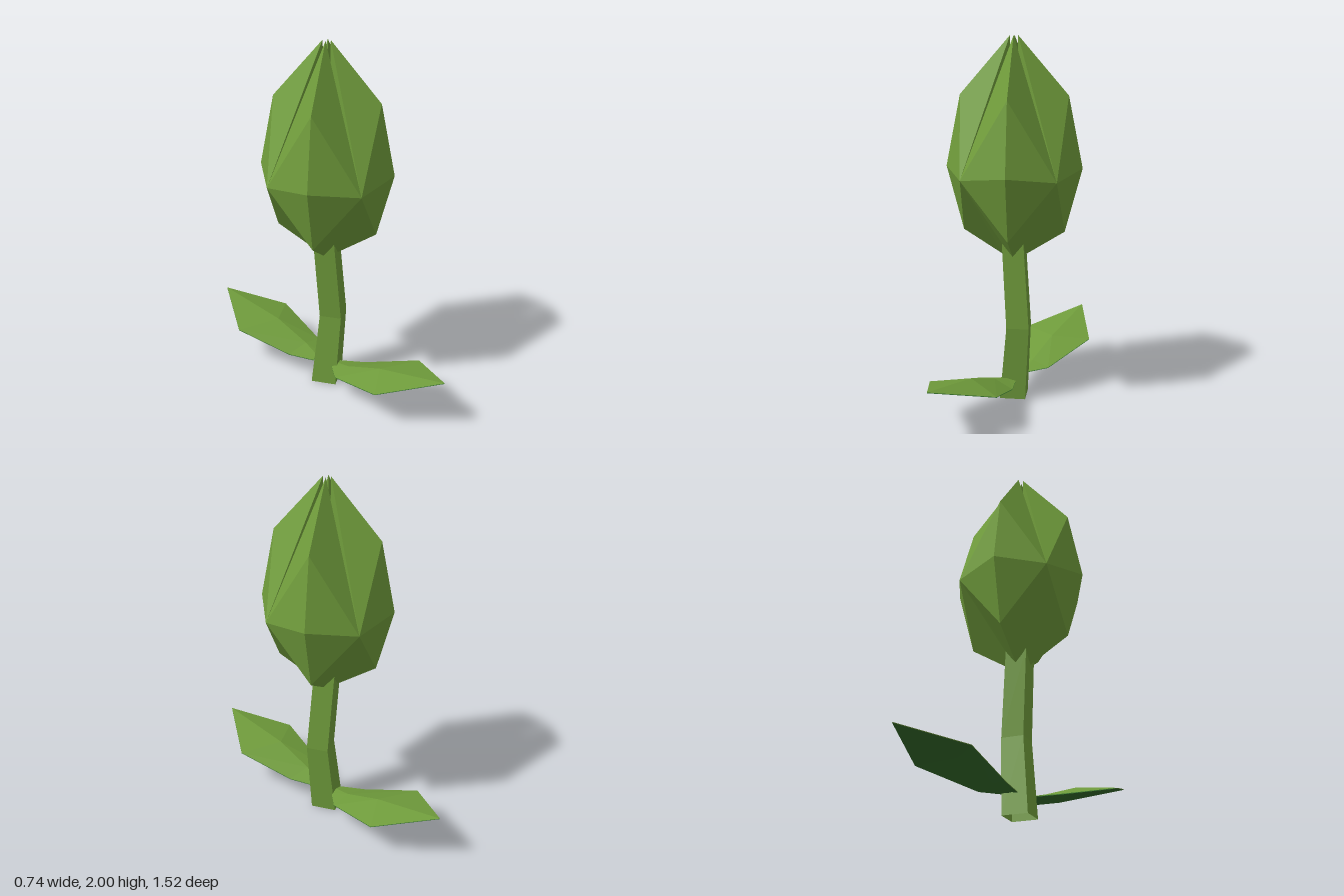
import * as THREE from 'three';

const green = new THREE.MeshStandardMaterial({ color: 0x6f9b3b, flatShading: true, side: THREE.DoubleSide });
green.name = 'fresh green';
const darkGreen = new THREE.MeshStandardMaterial({ color: 0x326829, flatShading: true, side: THREE.DoubleSide });
darkGreen.name = 'dark green';

// Faceted geometry from a list of triangles, each three [x, y, z] points
function facets(triangles) {
  const geometry = new THREE.BufferGeometry();
  geometry.setAttribute('position', new THREE.Float32BufferAttribute(triangles.flat(2), 3));
  geometry.computeVertexNormals();
  return geometry;
}

function addMesh(parent, name, geometry, material) {
  const mesh = new THREE.Mesh(geometry, material);
  mesh.name = name;
  parent.add(mesh);
  return mesh;
}

// One solid petal: a half from its side corner to the diagonal ridge, mirrored across the ridge
function petalGeometry() {
  const side = [0, 1.27, 0.355], notch = [0, 0.89, 0.08], core = [0, 1.0, 0];
  const ridge = [[0.043, 0.82], [0.195, 0.955], [0.26, 1.305], [0.205, 1.69], [0.015, 2.0]]
    .map(([r, y]) => [r, y, r]);
  const tip = ridge[ridge.length - 1];
  // Outer base corner and the inner walls towards the middle of the bud
  const half = [[side, notch, ridge[0]], [side, tip, core], [side, core, notch]];
  for (let i = 0; i < ridge.length - 1; i++) half.push([side, ridge[i], ridge[i + 1]]);
  const swap = ([x, y, z]) => [z, y, x];
  const mirrored = half.map(([a, b, c]) => [swap(a), swap(c), swap(b)]);
  return facets([...half, ...mirrored]);
}

// Open square stem with a kink in the middle
function stemGeometry() {
  const rows = [
    { y: 0, x: 0, r: 0.1 },
    { y: 0.42, x: 0.042, r: 0.087 },
    { y: 0.9, x: -0.002, r: 0.083 },
  ];
  const geometry = new THREE.CylinderGeometry(1, 1, 2, 4, 2, true);
  const p = geometry.attributes.position;
  for (let i = 0; i < p.count; i++) {
    const row = rows[Math.round(p.getY(i)) + 1];
    p.setXYZ(i, row.x + p.getX(i) * row.r, row.y, p.getZ(i) * row.r);
  }
  geometry.computeVertexNormals();
  return geometry;
}

// Leaf with a raised midrib: cross-sections (edge, midrib, edge) joined up to the tip
function leafTriangles() {
  const rows = [
    [[-0.01, 0.115, 0.075], [0.03, 0.12, 0.06], [0.067, 0.11, 0.04]],
    [[-0.06, 0.128, 0.2], [0.045, 0.15, 0.17], [0.17, 0.123, 0.145]],
    [[-0.02, 0.21, 0.55], [0.12, 0.23, 0.38], [0.37, 0.215, 0.4]],
  ];
  const tip = [0.28, 0.305, 0.76];
  const triangles = [];
  for (let i = 0; i < 2; i++) {
    for (let r = 0; r < 2; r++) {
      const [a, b] = [rows[r][i], rows[r][i + 1]];
      const [c, d] = [rows[r + 1][i], rows[r + 1][i + 1]];
      triangles.push([a, c, d], [a, d, b]);
    }
    triangles.push([rows[2][i], tip, rows[2][i + 1]]);
  }
  return triangles;
}

export function createModel() {
  const model = new THREE.Group();
  model.name = 'flowerBud';

  addMesh(model, 'stem', stemGeometry(), green);

  // Four petals around the bud
  const bud = new THREE.Group();
  bud.name = 'bud';
  model.add(bud);
  const petal = petalGeometry();
  for (let i = 0; i < 4; i++) {
    addMesh(bud, 'petal', petal, green).rotation.y = i * Math.PI / 2;
  }

  // Two opposite leaves, with a darker underside just below the top
  const triangles = leafTriangles();
  const top = facets(triangles);
  const under = facets(triangles.map(([a, b, c]) => [a, c, b]));
  ['frontLeaf', 'backLeaf'].forEach((name, i) => {
    const leaf = new THREE.Group();
    leaf.name = name;
    leaf.rotation.y = i * Math.PI;
    addMesh(leaf, 'leafTop', top, green);
    addMesh(leaf, 'leafUnderside', under, darkGreen).position.y = -0.004;
    model.add(leaf);
  });

  return model;
}
